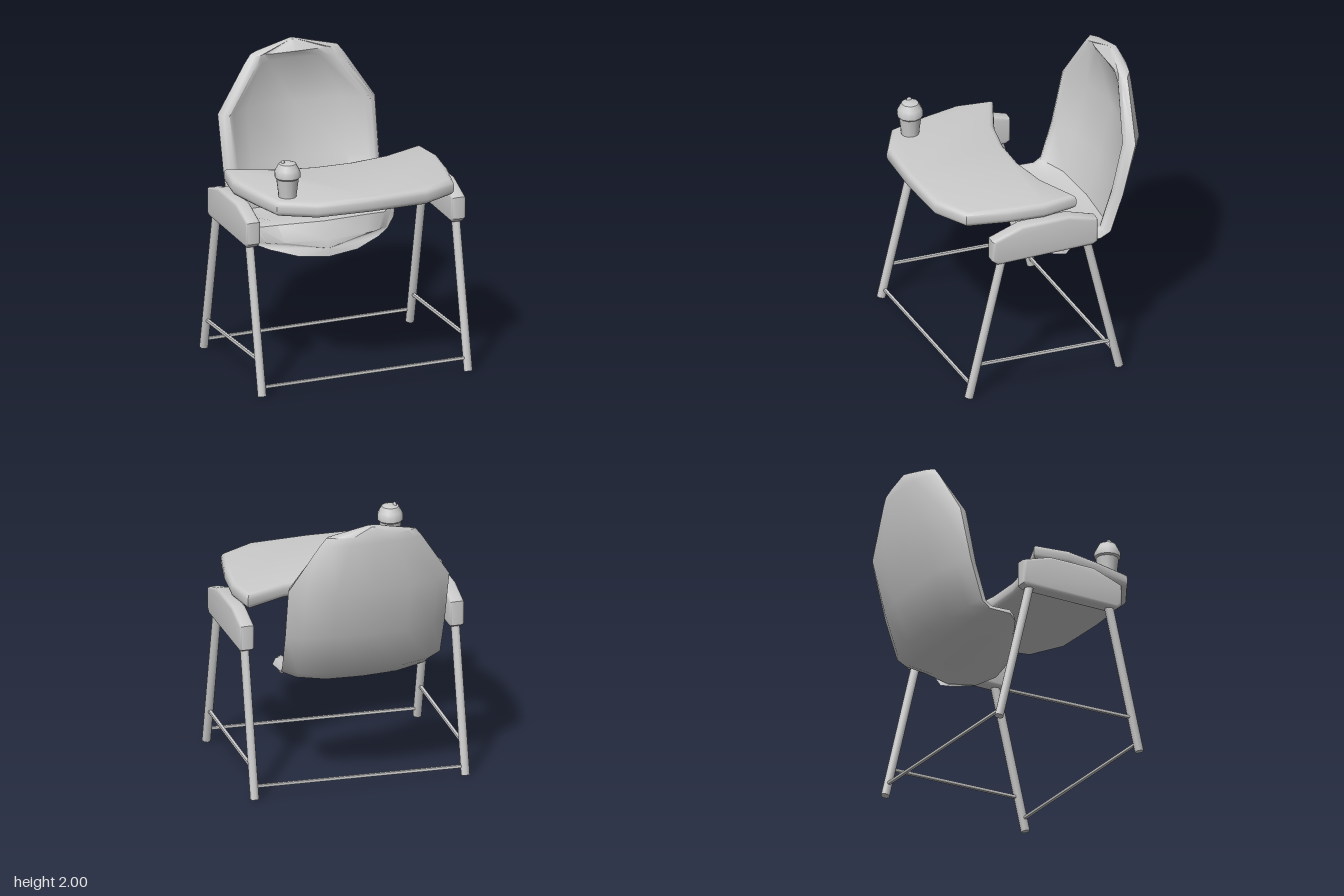
import * as THREE from 'three';
import { toCreasedNormals } from 'three/addons/utils/BufferGeometryUtils.js';

const material = new THREE.MeshStandardMaterial({ color: 0xcccccc });

function addMesh(parent, name, geometry) {
  const mesh = new THREE.Mesh(geometry, material);
  mesh.name = name;
  parent.add(mesh);
  return mesh;
}

function addRod(parent, name, from, to, radius, sides = 8) {
  const a = new THREE.Vector3(...from), b = new THREE.Vector3(...to);
  const dir = b.clone().sub(a);
  const rod = addMesh(parent, name, toCreasedNormals(
    new THREE.CylinderGeometry(radius, radius, dir.length(), sides), 1));
  rod.position.copy(a).add(b).multiplyScalar(0.5);
  rod.quaternion.setFromUnitVectors(new THREE.Vector3(0, 1, 0), dir.normalize());
  return rod;
}

// Beveled slab from outline points, filling the outline exactly
function slab(points, thickness, bevel) {
  const shape = new THREE.Shape(points.map(p => new THREE.Vector2(...p)));
  const geo = new THREE.ExtrudeGeometry(shape, {
    depth: thickness - 2 * bevel, bevelThickness: bevel, bevelSize: bevel,
    bevelOffset: -bevel, bevelSegments: 3,
  });
  return geo.translate(0, 0, bevel - thickness / 2);
}

// One-piece seat and backrest: closed sections lofted from the top edge to the front lip
function seatGeometry() {
  // back z, back y, front z, front y, half width, rim width, depth of hollow (1 = flush), bow, side lift
  const rows = [
    [-0.745, 2.00, -0.70, 2.00, 0.03, 0.01, 1, 0, 0],
    [-0.762, 1.945, -0.65, 1.93, 0.31, 0.09, 0.97, 0, 0],
    [-0.765, 1.89, -0.635, 1.87, 0.355, 0.11, 0.6, 0, 0],
    [-0.77, 1.56, -0.57, 1.56, 0.56, 0.09, 0.3, 0, 0],
    [-0.67, 1.20, -0.49, 1.20, 0.555, 0.09, 0.3, 0, 0],
    [-0.565, 0.90, -0.41, 0.95, 0.55, 0.09, 0.25, 0, 0],
    [-0.47, 0.82, -0.36, 0.93, 0.54, 0.09, 0.6, 0, 0],
    [-0.24, 0.80, -0.22, 0.93, 0.55, 0.08, 0.92, 0.02, 0],
    [-0.08, 0.705, -0.11, 0.92, 0.52, 0.07, 0.97, 0.09, 0.03],
    [-0.025, 0.69, -0.04, 0.80, 0.47, 0.07, 1, 0.14, 0.06],
  ];
  const positions = [], index = [];
  let n = 0;
  for (const [bz, by, fz, fy, w, rim, h, bow, lift] of rows) {
    const inner = w - rim;
    const half = [
      [w * 0.45, 0.05], [w * 0.82, 0.3], [w, 0.65], [w - rim * 0.25, 0.93],
      [w - rim * 0.65, 1], [inner, 0.9], [inner * 0.72, h + (0.9 - h) * 0.25],
    ];
    const loop = [[0, 0], ...half, [0, h], ...half.slice().reverse().map(([x, d]) => [-x, d])];
    n = loop.length;
    for (const [x, d] of loop) {
      const k = (x / w) ** 2;
      positions.push(x, by + (fy - by) * d + lift * k * (1 - d), bz + (fz - bz) * d - bow * k);
    }
  }
  for (let r = 0; r < rows.length - 1; r++) {
    for (let i = 0; i < n; i++) {
      const a = r * n + i, b = r * n + (i + 1) % n;
      index.push(a, b, a + n, b, b + n, a + n);
    }
  }
  // End caps
  const last = (rows.length - 1) * n;
  const ends = [[rows[0], 0], [rows[rows.length - 1], last]];
  ends.forEach(([[bz, by, fz, fy], start], e) => {
    const c = positions.length / 3;
    positions.push(0, (by + fy) / 2, (bz + fz) / 2);
    for (let i = 0; i < n; i++) {
      const a = start + i, b = start + (i + 1) % n;
      if (e === 0) index.push(c, b, a);
      else index.push(c, a, b);
    }
  });
  const geo = new THREE.BufferGeometry();
  geo.setAttribute('position', new THREE.Float32BufferAttribute(positions, 3));
  geo.setIndex(index);
  return toCreasedNormals(geo, 0.9);
}

export function createModel() {
  const model = new THREE.Group();
  model.name = 'highChair';

  addMesh(model, 'seatShell', seatGeometry());

  // Tray with a scooped rear edge
  const trayOutline = [
    [-0.70, -0.155], [-0.38, -0.025], [-0.13, 0.02], [0.13, 0.02], [0.40, -0.03], [0.69, -0.155],
    [0.73, 0.09], [0.70, 0.35], [0.64, 0.62], [0.40, 0.75], [0, 0.768], [-0.38, 0.755],
    [-0.62, 0.62], [-0.69, 0.35], [-0.74, 0.10],
  ];
  const tray = slab(trayOutline, 0.105, 0.035).rotateX(Math.PI / 2);
  addMesh(model, 'tray', toCreasedNormals(tray, 0.8)).position.y = 1.305;

  // Armrests, legs and side rods
  const armOutline = [
    [0.45, 1.0], [0.485, 1.03], [0.485, 1.18], [0.27, 1.255],
    [-0.07, 1.255], [-0.275, 1.19], [-0.275, 1.02], [-0.24, 1.0],
  ];
  for (const s of [1, -1]) {
    const side = new THREE.Group();
    side.name = s > 0 ? 'leftSide' : 'rightSide';
    model.add(side);
    const arm = slab(armOutline.slice().reverse(), 0.1, 0.022).rotateY(-Math.PI / 2);
    addMesh(side, 'armrest', toCreasedNormals(arm, 0.8)).position.x = s * 0.73;
    const x = s * 0.733;
    addRod(side, 'frontLeg', [x, 0.012, 0.643], [x, 1.06, 0.395], 0.031);
    addRod(side, 'rearLeg', [x, 0.012, -0.445], [x, 1.06, -0.2], 0.031);
    addRod(side, 'sideRod', [x, 0.247, 0.58], [x, 0.217, -0.39], 0.014);
  }
  addRod(model, 'frontRod', [-0.72, 0.07, 0.625], [0.72, 0.1, 0.625], 0.013);
  addRod(model, 'rearRod', [-0.72, 0.07, -0.43], [0.72, 0.1, -0.43], 0.013);

  // Drinking cup with lid and spout
  const cup = new THREE.Group();
  cup.name = 'cup';
  cup.position.set(-0.51, 0, 0.53);
  model.add(cup);
  const lathe = pts => toCreasedNormals(
    new THREE.LatheGeometry(pts.map(p => new THREE.Vector2(...p)), 12), 0.7);
  addMesh(cup, 'cupBody', lathe([[0, 1.345], [0.06, 1.345], [0.063, 1.38], [0.077, 1.49], [0, 1.49]]));
  addMesh(cup, 'cupLid', lathe([
    [0, 1.475], [0.07, 1.478], [0.087, 1.495], [0.088, 1.53], [0.078, 1.55], [0.058, 1.588], [0.03, 1.597], [0, 1.598],
  ]));
  const spout = addMesh(cup, 'spout', new THREE.SphereGeometry(1, 8, 6));
  spout.scale.set(0.012, 0.022, 0.021);
  spout.position.set(-0.03, 1.592, -0.005);

  return model;
}
